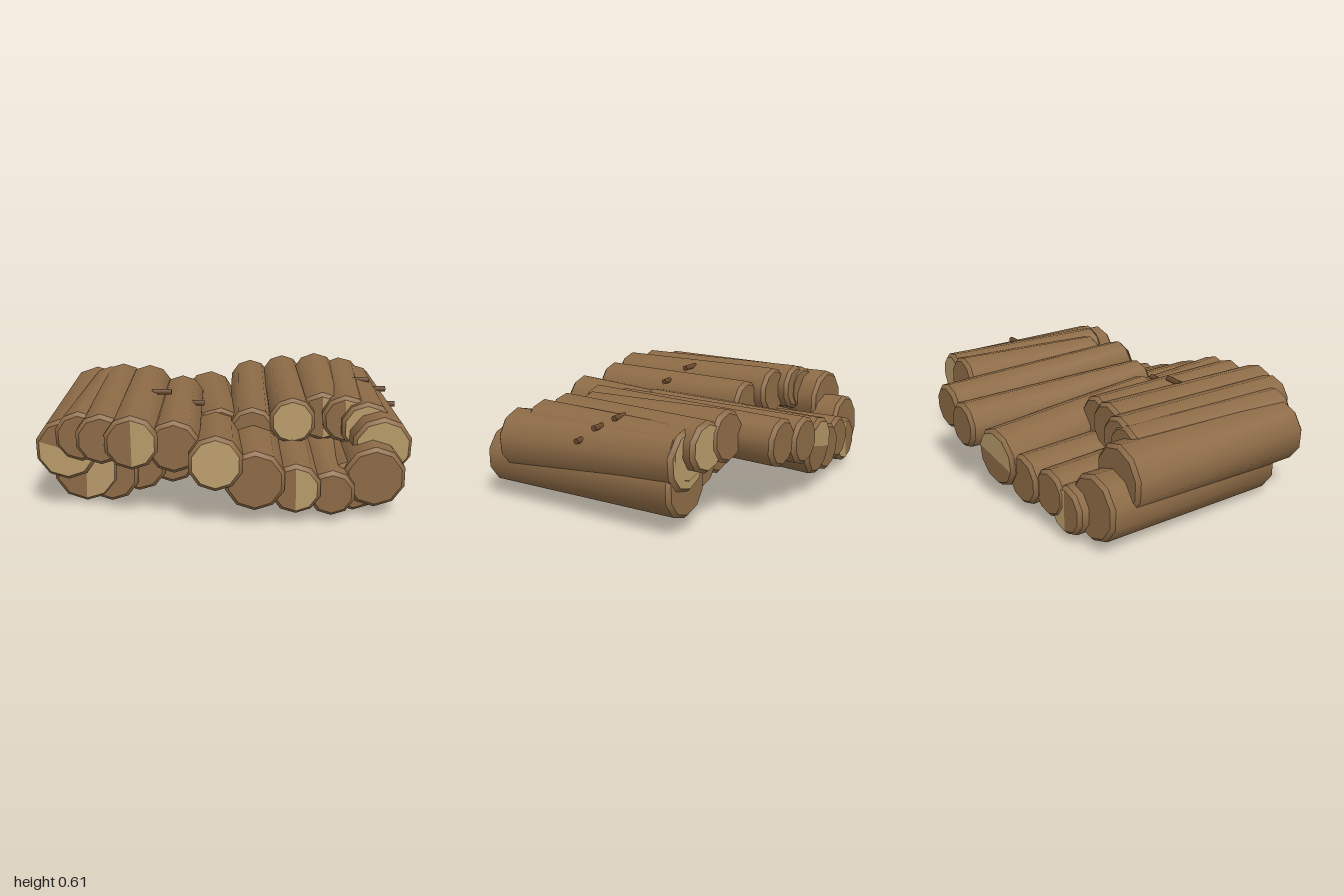
import * as THREE from 'three';
import { toCreasedNormals } from 'three/addons/utils/BufferGeometryUtils.js';

const makeMaterial = (name, color) => {
  const material = new THREE.MeshStandardMaterial({ color });
  material.name = name;
  return material;
};
const bark = makeMaterial('bark', 0x8d6b46);
const cutWood = makeMaterial('cutWood', 0xb89b6a);
const twigBark = makeMaterial('twigBark', 0x6b4a2d);

const UP = new THREE.Vector3(0, 1, 0);

// How much of a cut face is pale: [start angle, number of the ten sectors]
const FULL = [-Math.PI / 2, 10];
const RIGHT_HALF = [-Math.PI / 2, 5];
const SLANTED_HALF = [Math.PI * 0.9, 5];

// One ten-sided log with bevelled ends, running from its back end to its front end
function makeLog(name, front, back, paleFront, paleBack) {
  const [fx, fy, fz, fr] = front;
  const [bx, by, bz, br = fr] = back;
  const a = new THREE.Vector3(bx, by, bz);
  const b = new THREE.Vector3(fx, fy, fz);
  const len = a.distanceTo(b);
  const bevel = 0.02;
  const profile = [
    [0, 0], [br - bevel, 0], [br, bevel],
    [fr, len - bevel], [fr - bevel, len], [0, len],
  ].map(([x, y]) => new THREE.Vector2(x, y));

  const log = new THREE.Group();
  log.name = name;
  const trunk = new THREE.Mesh(toCreasedNormals(new THREE.LatheGeometry(profile, 10), 0.7), bark);
  trunk.name = 'trunk';
  log.add(trunk);

  // Pale cut faces
  const addCut = (label, r, y, turn, [start, sectors]) => {
    const shape = new THREE.CircleGeometry(r - bevel, sectors, start, sectors * Math.PI / 5);
    const cut = new THREE.Mesh(shape, cutWood);
    cut.name = label;
    cut.rotation.x = turn;
    cut.position.y = y;
    log.add(cut);
  };
  if (paleFront) addCut('frontCut', fr, len + 0.002, -Math.PI / 2, paleFront);
  if (paleBack) addCut('backCut', br, -0.002, Math.PI / 2, paleBack);

  log.position.copy(a);
  log.quaternion.setFromUnitVectors(UP, b.sub(a).normalize());
  return log;
}

// Rows of logs: front [x, y, z, radius], back [x, y, z, radius], pale front, pale back
const rows = {
  upperLeftRowLog: [
    [[-0.045, 0.35, 0.85, 0.145], [-0.06, 0.29, -0.3], FULL],
    [[-0.26, 0.41, 0.765, 0.14], [-0.26, 0.42, -0.26, 0.13]],
    [[-0.475, 0.435, 0.78, 0.145], [-0.465, 0.46, -0.33, 0.14], RIGHT_HALF],
    [[-0.635, 0.44, 0.735, 0.135], [-0.635, 0.46, -0.39]],
    [[-0.76, 0.425, 0.635, 0.135], [-0.705, 0.44, -0.4]],
    [[-0.835, 0.35, 0.61, 0.17], [-0.81, 0.36, -0.52, 0.185], SLANTED_HALF],
  ],
  lowerLeftRowLog: [
    [[-0.755, 0.185, 0.475, 0.18], [-0.79, 0.23, -0.66, 0.18], RIGHT_HALF],
    [[-0.62, 0.15, 0.46, 0.15], [-0.65, 0.175, -0.725, 0.135], null, RIGHT_HALF],
    [[-0.47, 0.195, 0.42, 0.15], [-0.52, 0.22, -0.74, 0.13]],
    [[-0.29, 0.22, 0.38, 0.14], [-0.31, 0.22, -0.77]],
    [[-0.03, 0.335, 0.29, 0.15], [-0.11, 0.28, -0.81, 0.165], null, SLANTED_HALF],
  ],
  lowerRightRowLog: [
    [[0.155, 0.25, 0.83, 0.16], [0.15, 0.26, -0.32]],
    [[0.365, 0.195, 0.795, 0.135], [0.38, 0.22, -0.36], RIGHT_HALF],
    [[0.555, 0.16, 0.765, 0.125], [0.55, 0.22, -0.38, 0.13], null, FULL],
    [[0.68, 0.17, 0.67, 0.14], [0.67, 0.18, -0.42]],
    [[0.785, 0.225, 0.7, 0.165], [0.79, 0.245, -0.53]],
  ],
  upperRightRowLog: [
    [[0.15, 0.38, 0.37, 0.13], [0.165, 0.385, -0.86]],
    [[0.37, 0.44, 0.39, 0.13], [0.375, 0.42, -0.84], FULL],
    [[0.545, 0.435, 0.285, 0.14], [0.575, 0.47, -0.64], RIGHT_HALF],
    [[0.665, 0.445, 0.375, 0.135], [0.735, 0.45, -0.62], RIGHT_HALF, FULL],
    [[0.775, 0.415, 0.435, 0.145], [0.8, 0.41, -0.55], FULL, FULL],
    [[0.84, 0.345, 0.56, 0.165], [0.795, 0.385, -0.54], FULL, FULL],
  ],
};

// Broken twigs sticking out sideways: [x, y, z]
const twigs = [
  [-0.355, 0.565, 0.22], [-0.17, 0.51, 0.25],
  [0.8, 0.55, -0.13], [0.89, 0.51, -0.07], [0.935, 0.44, 0.01],
];

export function createModel() {
  const group = new THREE.Group();
  group.name = 'logPile';
  for (const [name, logs] of Object.entries(rows)) {
    logs.forEach((spec, i) => group.add(makeLog(name + (i + 1), ...spec)));
  }
  twigs.forEach(([x, y, z], i) => {
    const twig = new THREE.Mesh(new THREE.CylinderGeometry(0.016, 0.016, 0.11, 8), twigBark);
    twig.name = 'twig' + (i + 1);
    twig.rotation.z = Math.PI / 2;
    twig.position.set(x, y, z);
    group.add(twig);
  });
  return group;
}
